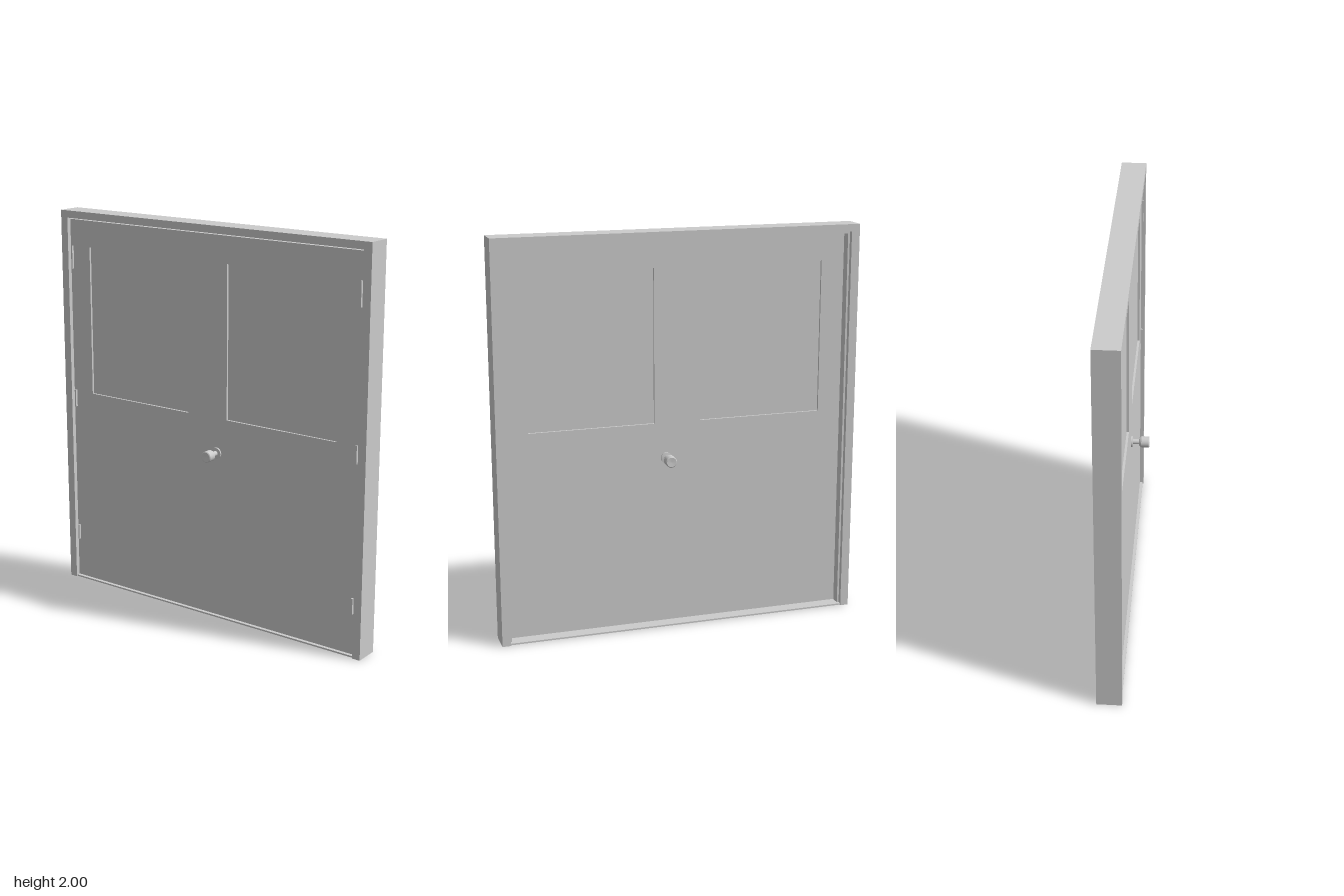
import * as THREE from 'three';

const material = new THREE.MeshStandardMaterial({ color: 0xcccccc });
const FRONT = 0.038, BACK = -0.087; // frame depth
const HALF = 0.92, HEIGHT = 2, FACE = 0.042; // frame size and face width
const DOOR = 0.018; // half the door thickness

function add(parent, name, geometry) {
  const mesh = new THREE.Mesh(geometry, material);
  mesh.name = name;
  parent.add(mesh);
  return mesh;
}

// Box given by its limits on each axis
function box(parent, name, [x0, x1], [y0, y1], [z0, z1]) {
  const mesh = add(parent, name, new THREE.BoxGeometry(x1 - x0, y1 - y0, z1 - z0));
  mesh.position.set((x0 + x1) / 2, (y0 + y1) / 2, (z0 + z1) / 2);
  return mesh;
}

// Three-sided surround, open at the floor
function surround(parent, name, outer, inner, top, innerTop, z0, z1) {
  const shape = new THREE.Shape([
    [-outer, 0], [-inner, 0], [-inner, innerTop], [inner, innerTop],
    [inner, 0], [outer, 0], [outer, top], [-outer, top],
  ].map(([x, y]) => new THREE.Vector2(x, y)));
  const geometry = new THREE.ExtrudeGeometry(shape, { depth: z1 - z0, bevelEnabled: false });
  add(parent, name, geometry.translate(0, 0, z0));
}

function rectangle(Type, x0, x1, y0, y1) {
  return new Type([
    new THREE.Vector2(x0, y0), new THREE.Vector2(x1, y0),
    new THREE.Vector2(x1, y1), new THREE.Vector2(x0, y1),
  ]);
}

export function createModel() {
  const model = new THREE.Group();
  model.name = 'doubleWindowDoor';

  // Frame with a stop behind the door, and a low sill
  const inner = HALF - FACE, innerTop = HEIGHT - 0.037;
  surround(model, 'frame', HALF, inner, HEIGHT, innerTop, BACK, FRONT);
  surround(model, 'doorStop', inner, inner - 0.01, innerTop, innerTop - 0.012, -0.064, -DOOR);
  box(model, 'sill', [-inner, inner], [0.002, 0.01], [BACK + 0.004, FRONT - 0.004]);

  // Door slab with two window openings
  const slab = rectangle(THREE.Shape, -inner + 0.002, inner - 0.002, 0.011, innerTop - 0.008);
  const windows = [[-0.75, -0.118], [0.118, 0.75]];
  for (const [x0, x1] of windows) slab.holes.push(rectangle(THREE.Path, x0, x1, 1.05, 1.82));
  const door = new THREE.ExtrudeGeometry(slab, { depth: 2 * DOOR, bevelEnabled: false });
  add(model, 'door', door.translate(0, 0, -DOOR));
  for (const x of windows) box(model, 'windowPane', x, [1.05, 1.82], [-0.007, 0.007]);

  // Hinges on both edges of the door
  for (const side of [-1, 1]) {
    for (const y of [[1.7, 1.82], [0.965, 1.055], [0.22, 0.3]]) {
      const x = [side * 0.858, side * 0.866].sort((a, b) => a - b);
      box(model, 'hinge', x, y, [DOOR - 0.002, DOOR + 0.012]);
    }
  }

  // Knob set, the same on both faces
  const profile = [
    [0, 0.108], [0.024, 0.11], [0.028, 0.107], [0.028, 0.07],
    [0.022, 0.06], [0.013, 0.058], [0.013, 0.028], [0.028, 0.026], [0.028, DOOR],
  ].reverse().map(([r, z]) => new THREE.Vector2(r, z));
  // Separate bands keep the edges crisp
  for (const turn of [0, Math.PI]) {
    const knob = new THREE.Group();
    knob.name = turn ? 'backKnob' : 'frontKnob';
    for (let i = 0; i < profile.length - 1; i++) {
      add(knob, 'knobBand', new THREE.LatheGeometry([profile[i], profile[i + 1]], 32));
    }
    knob.rotation.x = turn ? -Math.PI / 2 : Math.PI / 2;
    knob.position.set(0.058, 0.872, 0);
    model.add(knob);
  }
  return model;
}
